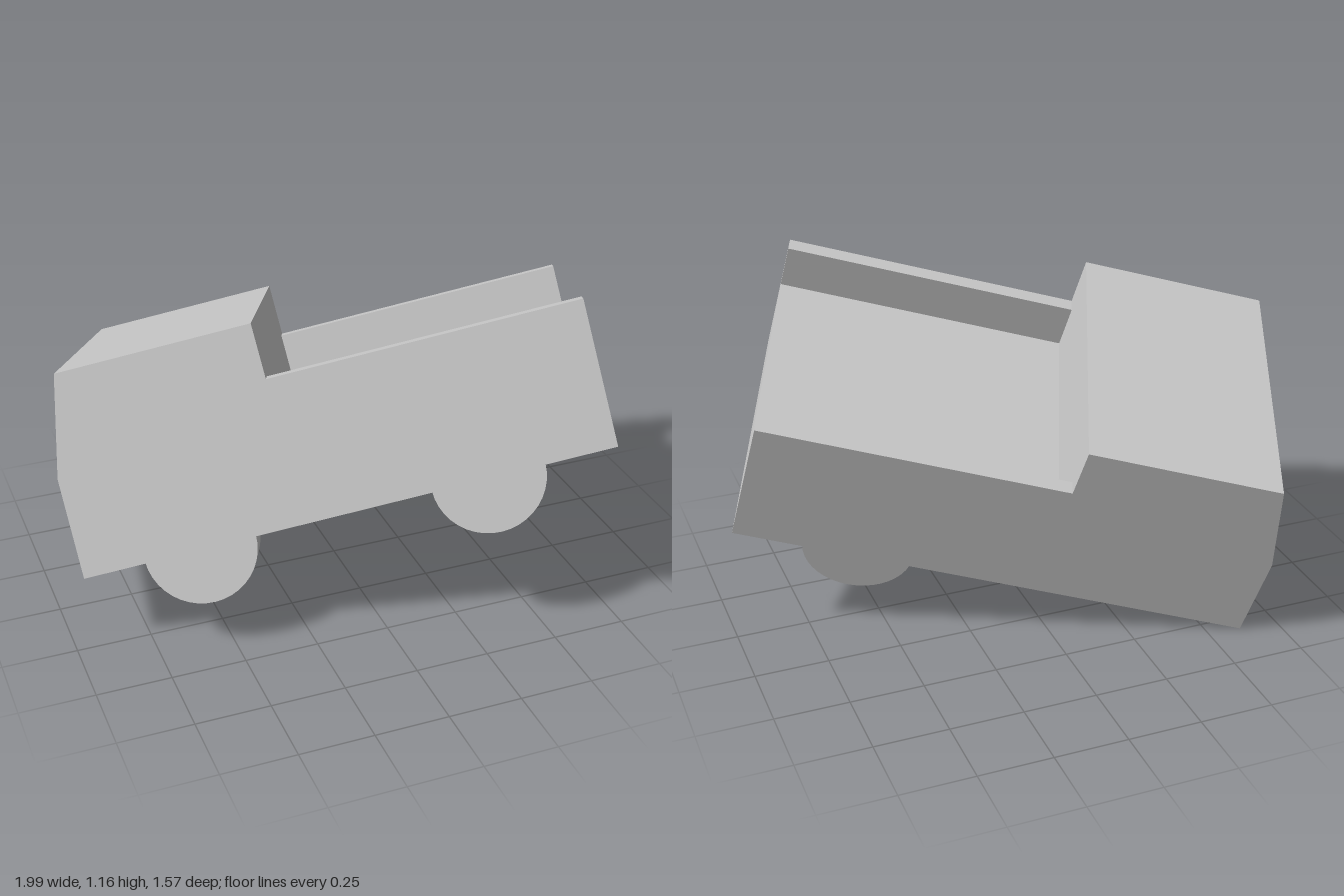
import * as THREE from 'three';
import { toCreasedNormals } from 'three/addons/utils/BufferGeometryUtils.js';

// Truck in its own frame: x runs nose to tail, y up, z across
const LENGTH = 1.75, WIDTH = 0.95, FLOOR = 0.32, CAB_END = 0.735;

export function createModel() {
  const material = new THREE.MeshStandardMaterial({ color: 0xcccccc });
  const truck = new THREE.Group();
  truck.name = 'truck';

  const add = (name, geometry, x, y, z) => {
    const mesh = new THREE.Mesh(geometry, material);
    mesh.name = name;
    mesh.position.set(x, y, z);
    truck.add(mesh);
  };

  // Cab and bed floor: one side profile with a gently curved nose
  const profile = new THREE.Shape([
    [0, 0], [LENGTH, 0], [LENGTH, FLOOR], [CAB_END, FLOOR],
    [CAB_END, 0.665], [0.095, 0.665], [0.01, 0.335],
  ].map(([x, y]) => new THREE.Vector2(x, y)));
  const body = new THREE.ExtrudeGeometry(profile, { depth: WIDTH, bevelEnabled: false });
  add('cabAndBed', toCreasedNormals(body, 0.5), 0, 0, 0);

  // Bed side walls
  const wallLength = LENGTH - CAB_END, wallHeight = 0.163, wallWidth = 0.05;
  for (const [name, z] of [['nearBedWall', WIDTH - wallWidth / 2], ['farBedWall', wallWidth / 2]]) {
    add(name, new THREE.BoxGeometry(wallLength, wallHeight, wallWidth),
      CAB_END + wallLength / 2, FLOOR + wallHeight / 2, z);
  }

  // Three wheels, half sunk into the underside
  const wheel = new THREE.CylinderGeometry(0.185, 0.185, 0.14, 40).rotateX(Math.PI / 2);
  add('nearFrontWheel', wheel, 0.383, -0.003, WIDTH - 0.105);
  add('nearRearWheel', wheel, 1.334, -0.003, WIDTH - 0.105);
  add('farRearWheel', wheel, 1.334, -0.003, 0.105);

  // Tilted pose of the whole truck
  const along = new THREE.Vector3(0.922, 0.248, 0.297).normalize();
  const across = new THREE.Vector3(-0.369, 0.3, 0.88);
  const up = new THREE.Vector3().crossVectors(across, along).normalize();
  across.crossVectors(along, up);
  truck.quaternion.setFromRotationMatrix(new THREE.Matrix4().makeBasis(along, up, across));
  truck.position.set(-0.615, 0, -0.57);

  const model = new THREE.Group();
  model.name = 'model';
  model.add(truck);
  return model;
}
